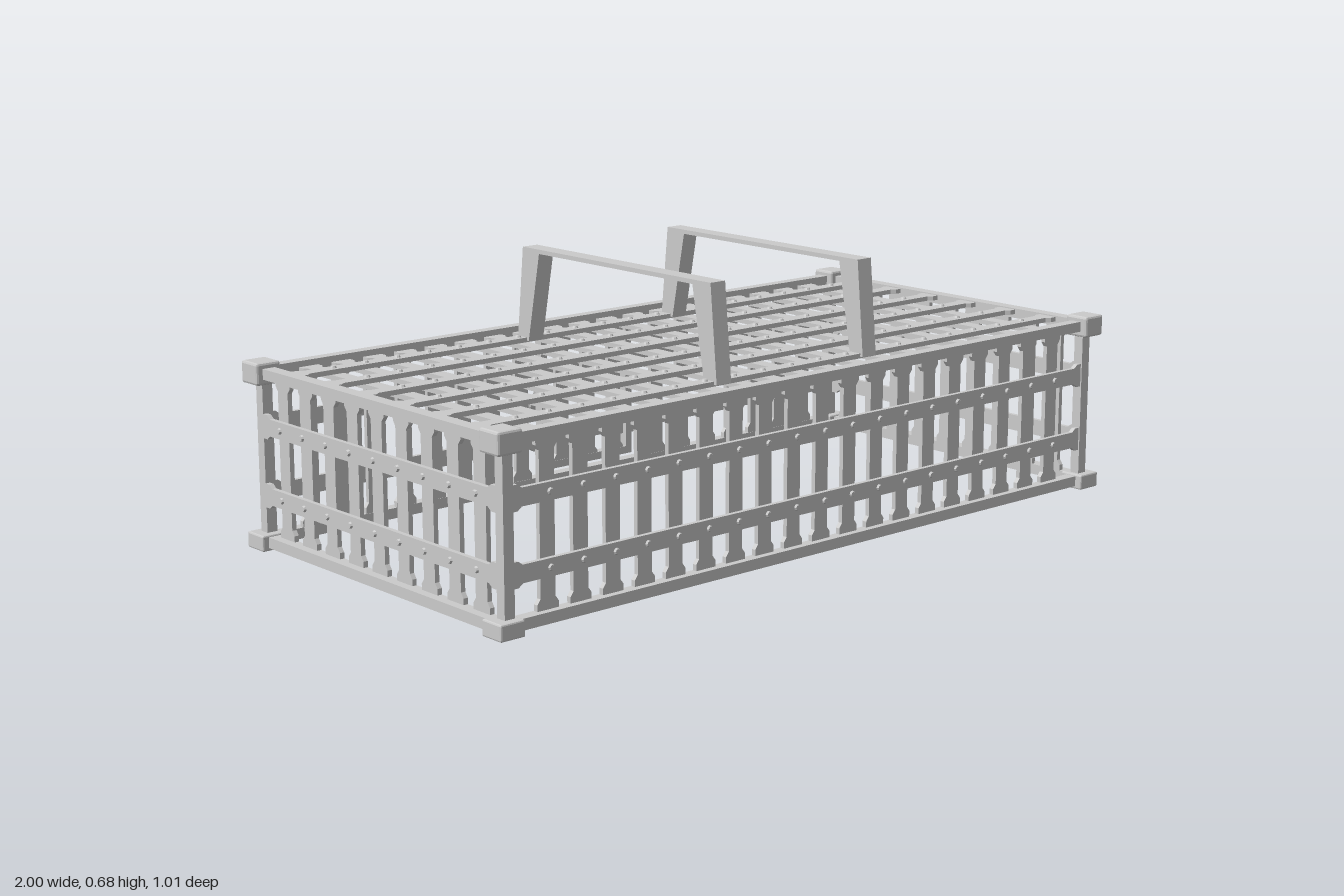
import * as THREE from 'three';
import { RoundedBoxGeometry } from 'three/addons/geometries/RoundedBoxGeometry.js';

const material = new THREE.MeshStandardMaterial({ color: 0xcccccc, flatShading: true });

// Evenly spaced values from a to b
const spread = (a, b, n) => Array.from({ length: n }, (_, i) => a + ((b - a) * i) / (n - 1));

function add(parent, name, geometry, x = 0, y = 0, z = 0) {
  const mesh = new THREE.Mesh(geometry, material);
  mesh.name = name;
  mesh.position.set(x, y, z);
  parent.add(mesh);
  return mesh;
}

const box = (w, h, d) => new THREE.BoxGeometry(w, h, d);

function extrude(points, depth) {
  const shape = new THREE.Shape(points.map(([x, y]) => new THREE.Vector2(x, y)));
  return new THREE.ExtrudeGeometry(shape, { depth, bevelEnabled: false });
}

// Flat strip along y with widened ends
function slatGeometry(length, width, thickness) {
  const h = length / 2, w = width / 2, f = w + 0.009;
  const right = [[f, -h], [f, -h + 0.02], [w, -h + 0.032], [w, h - 0.032], [f, h - 0.02], [f, h]];
  const left = right.map(([x, y]) => [-x, y]).reverse();
  return extrude([...right, ...left], thickness);
}

const rivetGeometry = new THREE.CylinderGeometry(0.006, 0.009, 0.006, 8).rotateX(Math.PI / 2);

// Riveted lattice in the xy plane facing +z: uprights at us, bars at vs laid over them.
// spans lists the [from, to] ranges the bars run over.
function lattice(name, us, vs, spans, height, width = 0.042) {
  const group = new THREE.Group();
  group.name = name;
  const upright = slatGeometry(height, width, 0.012);
  us.forEach((u) => add(group, 'uprightSlat', upright, u, 0, -0.012));
  for (const [a, b] of spans) {
    const bar = slatGeometry(b - a, width, 0.012).rotateZ(Math.PI / 2);
    vs.forEach((v) => add(group, 'crossSlat', bar, (a + b) / 2, v, 0));
  }
  us.forEach((u) => vs.forEach((v) => add(group, 'rivet', rivetGeometry, u, v, 0.014)));
  return group;
}

export function createModel() {
  const model = new THREE.Group();
  model.name = 'cage';
  const body = new THREE.Group();
  body.name = 'body';
  body.position.z = 0.005;
  model.add(body);

  const X = 0.965, Z = 0.469, MID = 0.23;
  const longUs = spread(-0.84, 0.84, 19);
  const sideUs = spread(-0.385, 0.385, 9);
  const wallVs = [0.134 - MID, 0.306 - MID];
  const wallHeight = 0.4;

  // Corner blocks and posts
  for (const sx of [-1, 1]) {
    for (const sz of [-1, 1]) {
      add(body, 'lowerCorner', new RoundedBoxGeometry(0.068, 0.04, 0.068, 1, 0.004), sx * X, 0.02, sz * Z);
      add(body, 'upperCorner', new RoundedBoxGeometry(0.068, 0.055, 0.068, 1, 0.006), sx * X, 0.4375, sz * Z);
      add(body, 'post', box(0.028, 0.4, 0.027), sx * 0.958, MID, sz * Z);
    }
  }

  // Top and bottom rails
  for (const [y, h] of [[0.0215, 0.027], [0.438, 0.026]]) {
    for (const s of [-1, 1]) {
      add(body, 'longRail', box(2 * X, h, 0.03), 0, y, s * Z);
      add(body, 'shortRail', box(0.034, h, 2 * Z), s * X, y, 0);
    }
  }

  // Front wall
  const front = lattice('frontWall', longUs, wallVs, [[-0.95, 0.95]], wallHeight);
  front.position.set(0, MID, 0.467);
  body.add(front);

  // Back wall, with an opening for the door (local x runs opposite to model x)
  const doorL = -0.19, doorR = 0.12;
  const backUs = longUs.filter((u) => u < doorL - 0.02 || u > doorR + 0.02);
  const back = lattice('backWall', backUs, wallVs, [[-0.95, doorL], [doorR, 0.95]], wallHeight);
  back.position.set(0, MID, -0.467);
  back.rotation.y = Math.PI;
  body.add(back);

  // Side walls
  for (const s of [-1, 1]) {
    const side = lattice(s > 0 ? 'leftWall' : 'rightWall', sideUs, wallVs, [[-0.46, 0.46]], wallHeight);
    side.position.set(s * 0.96, MID, 0);
    side.rotation.y = (s * Math.PI) / 2;
    body.add(side);
  }

  // Lid
  const lid = lattice('lid', longUs, spread(-0.358, 0.347, 6), [[-0.95, 0.95]], 0.91, 0.037);
  lid.position.y = 0.436;
  lid.rotation.x = -Math.PI / 2;
  body.add(lid);

  // Door: frame around its own small lattice
  const door = new THREE.Group();
  door.name = 'door';
  door.position.set(0, MID, -0.469);
  door.rotation.y = Math.PI;
  body.add(door);
  const doorMid = (doorL + doorR) / 2, doorW = doorR - doorL;
  for (const x of [doorL + 0.01, doorR - 0.01]) add(door, 'doorStile', box(0.02, 0.37, 0.026), x, 0.005, 0);
  for (const y of [-0.17, 0.18]) add(door, 'doorRail', box(doorW, 0.02, 0.026), doorMid, y, 0);
  door.add(lattice('doorLattice', spread(-0.13, 0.05, 3), wallVs, [[doorL + 0.01, doorR - 0.01]], 0.35));

  // Door hinges
  for (const y of [-0.1, 0.11]) {
    add(door, 'hinge', new THREE.CylinderGeometry(0.008, 0.008, 0.045, 8), doorL, y, 0.01);
  }

  // Latch: pivot and tilted lever
  const pivot = new THREE.CylinderGeometry(0.013, 0.013, 0.02, 8).rotateX(Math.PI / 2);
  add(door, 'latchPivot', pivot, 0.11, 0.04, 0.015);
  const leverProfile = [[0, -0.048], [0.009, -0.044], [0.012, -0.03], [0.007, 0.03], [0.006, 0.046], [0, 0.048]];
  const lever = add(door, 'latchLever',
    new THREE.LatheGeometry(leverProfile.map(([r, y]) => new THREE.Vector2(r, y)), 8), 0.11, 0.015, 0.024);
  lever.scale.set(1.4, 1, 0.6);
  lever.rotation.set(-0.26, 0, 0.15);

  // Carrying handles: tapered legs joined by a thin bar, drawn as (z, y)
  const outline = [
    [0.39, 0.44], [0.368, 0.68], [-0.335, 0.68], [-0.36, 0.44],
    [-0.316, 0.44], [-0.27, 0.669], [0.305, 0.669], [0.346, 0.44],
  ];
  const handleGeometry = extrude(outline, 0.046).translate(0, 0, -0.023).rotateY(-Math.PI / 2);
  for (const s of [-1, 1]) add(model, 'handle', handleGeometry, s * 0.243, 0, 0);

  return model;
}
